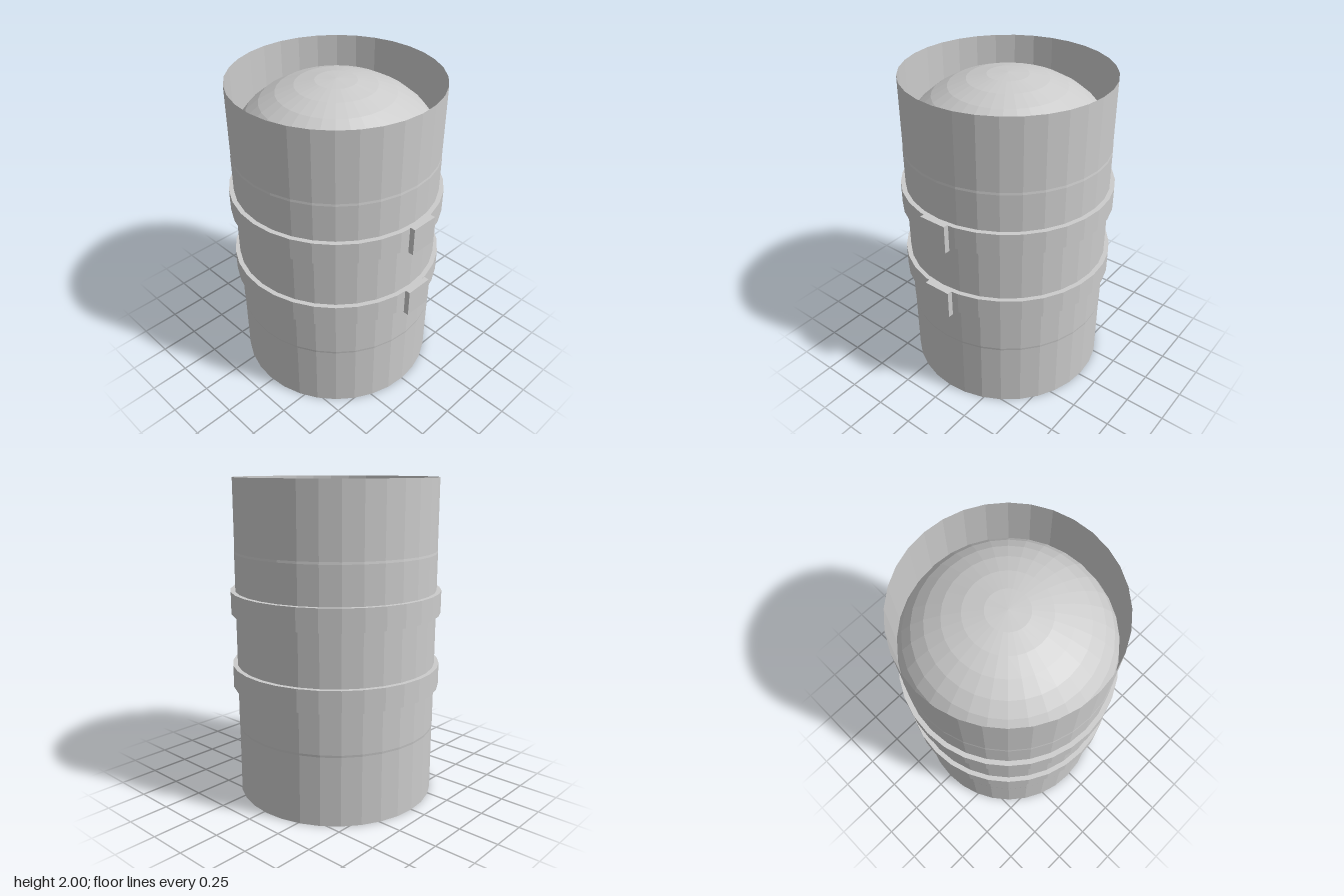
import * as THREE from 'three';

const SIDES = 32;
const AXIS_X = -0.022; // tank axis sits slightly off centre because of the clasps

export function createModel() {
  const model = new THREE.Group();
  model.name = 'tank';
  const solid = new THREE.MeshStandardMaterial({ color: 0xcccccc, flatShading: true });
  const thin = new THREE.MeshStandardMaterial({ color: 0xcccccc, flatShading: true, side: THREE.DoubleSide });

  const add = (name, geometry, material, x, y, z = 0) => {
    const mesh = new THREE.Mesh(geometry, material);
    mesh.name = name;
    mesh.position.set(x, y, z);
    model.add(mesh);
  };

  // Pressure vessel: straight wall with a shallow elliptical dome at each end
  const radius = 0.632, domeHeight = 0.44, halfWall = 0.55, rings = 8;
  const profile = [];
  for (const end of [-1, 1]) {
    for (let i = 0; i <= rings; i++) {
      const t = (end < 0 ? i : rings - i) / rings * Math.PI / 2;
      profile.push(new THREE.Vector2(radius * Math.sin(t), end * (halfWall + domeHeight * Math.cos(t))));
    }
  }
  add('vessel', new THREE.LatheGeometry(profile, SIDES), solid, AXIS_X, 1);

  // Open skirts that surround the domes
  const skirt = new THREE.CylinderGeometry(0.63, 0.63, 0.45, SIDES, 1, true);
  add('lowerSkirt', skirt, thin, AXIS_X, 0.225);
  add('upperSkirt', skirt, thin, AXIS_X, 1.775);

  // Strap rings, each with a clasp plate on the left side
  const h = 0.07, inner = 0.622, outer = 0.661;
  const section = [[inner, -h], [outer, -h], [outer, h], [inner, h], [inner, -h]]
    .map(([r, y]) => new THREE.Vector2(r, y));
  const band = new THREE.LatheGeometry(section, SIDES);
  const clasp = new THREE.BoxGeometry(0.034, 0.177, 0.177);
  for (const [label, y] of [['lower', 0.78], ['upper', 1.248]]) {
    add(label + 'Band', band, solid, AXIS_X, y);
    add(label + 'Clasp', clasp, solid, 0.66, y, -0.01);
  }
  return model;
}
